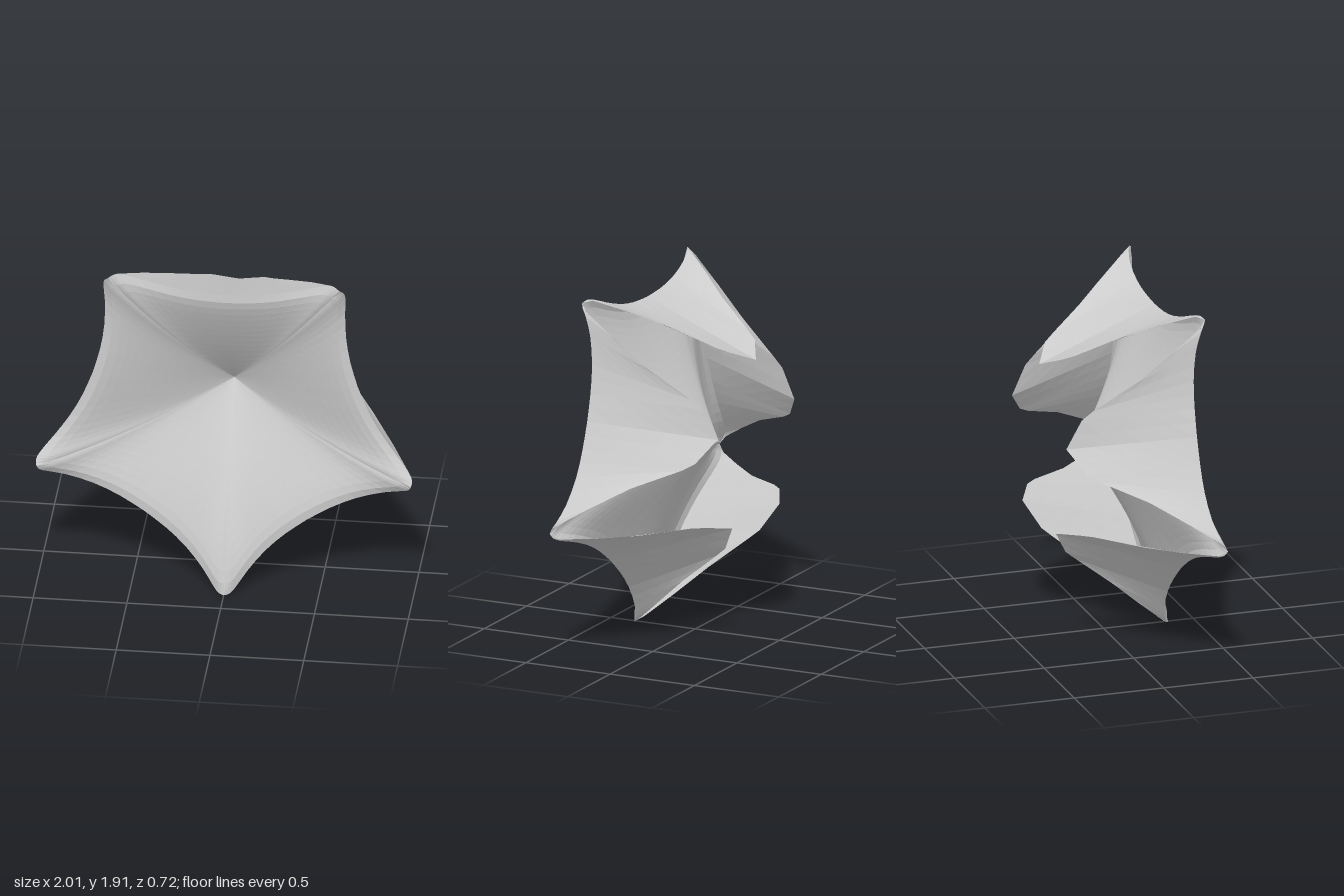
import * as THREE from 'three';

const CENTRE_Y = 1.05, CENTRE_Z = -0.14;
const V = (a) => new THREE.Vector3(...a);

// Half outlines of one sector, from its middle out to the arm tip: [sideways, outward, depth]
const RIM = [[0, 0.742, 0.285], [0.15, 0.75, 0.285], [0.3, 0.775, 0.287], [0.45, 0.82, 0.3],
  [0.55, 0.857, 0.325], [0.59, 0.863, 0.345], [0.617, 0.849, 0.36]].map(V);
const HEM = [[0, 0.475, -0.36], [0.145, 0.54, -0.28], [0.19, 0.57, -0.22], [0.32, 0.693, 0],
  [0.45, 0.785, 0.17], [0.57, 0.857, 0.32], [0.617, 0.849, 0.36]].map(V);
const rimCurve = new THREE.CatmullRomCurve3(RIM);

function mirrored(point, u) {
  if (u < 0) point.x *= -1;
  return point;
}

// Smooth rounded rim between two arm tips, u from -1 to 1
const rim = (u) => mirrored(rimCurve.getPoint(Math.abs(u)), u);

// Angular free edge at the back of a flap
function hem(u) {
  const s = Math.abs(u) * (HEM.length - 1);
  const i = Math.min(Math.floor(s + 1e-6), HEM.length - 2);
  return mirrored(HEM[i].clone().lerp(HEM[i + 1], s - i), u);
}

// Bowl from the sunken centre, flattening outwards and rolling over at the rim
function bowl(u, v) {
  const p = rim(u);
  const roll = 0.03 * (1 - Math.pow(u, 6));
  const rise = p.z + roll - CENTRE_Z;
  const slope = 0.2 + 0.56 * Math.hypot(p.x, p.y);
  const z = CENTRE_Z + slope * v + (rise - slope) * v * v - roll * Math.pow(v, 20);
  return new THREE.Vector3(p.x * v, p.y * v, z);
}

// Flap stretched from the rim back to its free edge
const flap = (u, v) => rim(u).lerp(hem(u), v);

// Faceted grid of points given by a rule
function sheet(rule, columns, rows) {
  const points = [], index = [];
  for (let j = 0; j <= rows; j++) {
    for (let i = 0; i <= columns; i++) {
      points.push(rule(-1 + (2 * i) / columns, j / rows));
      if (i === columns || j === rows) continue;
      const a = j * (columns + 1) + i, d = a + columns + 1;
      index.push(a, a + 1, d + 1, a, d + 1, d);
    }
  }
  const indexed = new THREE.BufferGeometry().setFromPoints(points);
  indexed.setIndex(index);
  const geometry = indexed.toNonIndexed();
  geometry.computeVertexNormals();
  return geometry;
}

export function createModel() {
  const model = new THREE.Group();
  model.name = 'foldedStar';
  const material = new THREE.MeshStandardMaterial({
    color: 0xcccccc, flatShading: true, side: THREE.DoubleSide,
  });
  const parts = { bowlSector: sheet(bowl, 24, 16), backFlap: sheet(flap, 24, 5) };

  // Five equal sectors around the centre
  for (let k = 0; k < 5; k++) {
    const sector = new THREE.Group();
    sector.name = `starSector${k + 1}`;
    sector.position.y = CENTRE_Y;
    sector.rotation.z = (k * Math.PI * 2) / 5;
    for (const [name, geometry] of Object.entries(parts)) {
      const mesh = new THREE.Mesh(geometry, material);
      mesh.name = name;
      sector.add(mesh);
    }
    model.add(sector);
  }
  return model;
}
